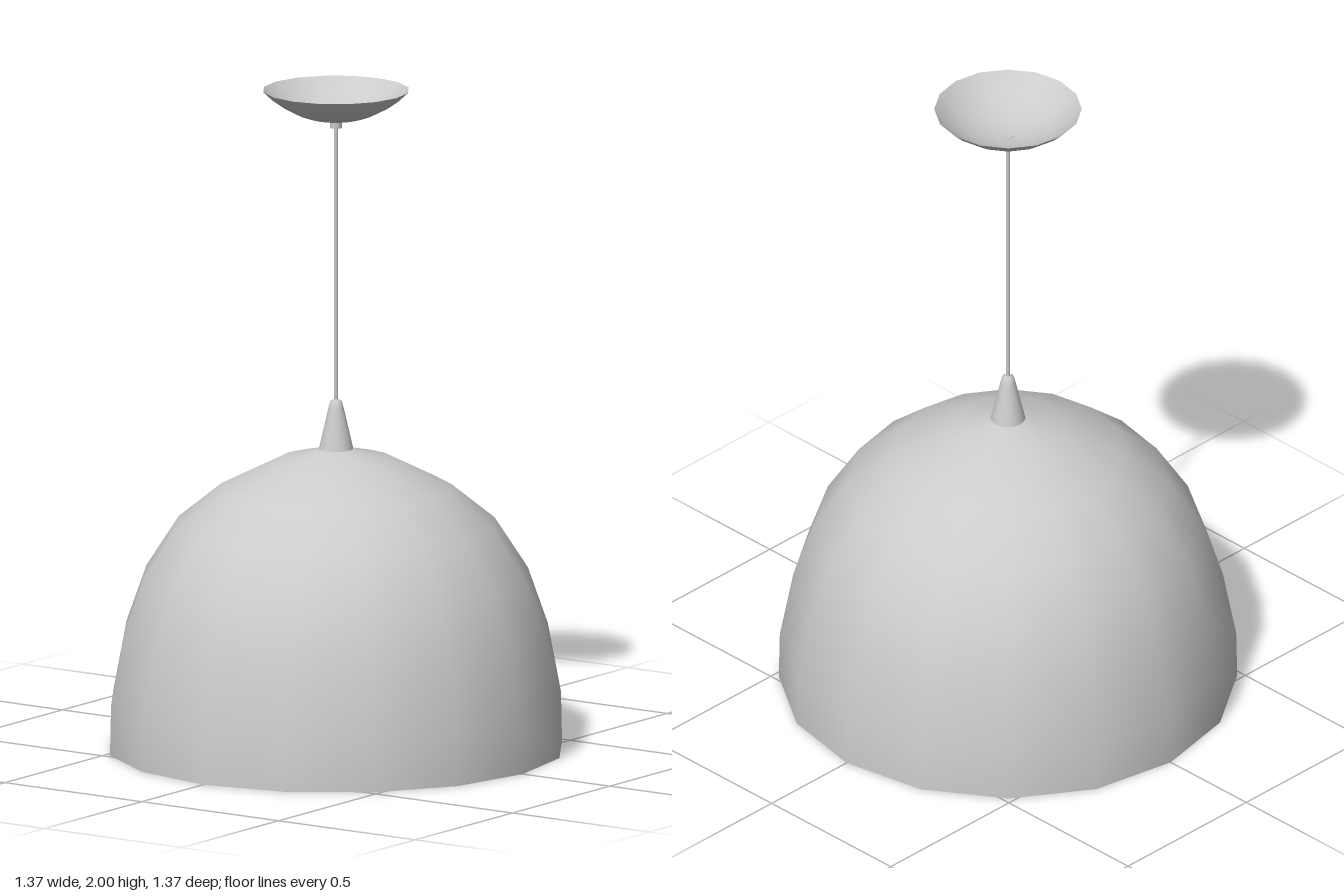
import * as THREE from 'three';

const material = new THREE.MeshStandardMaterial({ color: 0xcccccc });
const thinMaterial = new THREE.MeshStandardMaterial({ color: 0xcccccc, side: THREE.DoubleSide });

// Surface of revolution from [radius, height] pairs, listed bottom to top for an outer face
function lathe(name, profile, sides = 16, mat = material) {
  const points = profile.map(([r, y]) => new THREE.Vector2(r, y));
  const mesh = new THREE.Mesh(new THREE.LatheGeometry(points, sides), mat);
  mesh.name = name;
  return mesh;
}

function cylinder(name, radius, bottom, top, sides) {
  const mesh = new THREE.Mesh(new THREE.CylinderGeometry(radius, radius, top - bottom, sides), material);
  mesh.position.y = (bottom + top) / 2;
  mesh.name = name;
  return mesh;
}

export function createModel() {
  const model = new THREE.Group();
  model.name = 'pendantLamp';

  // Dome shade: outer skin, inner skin and flat rim
  const outer = [[0.683, 0], [0.68, 0.15], [0.64, 0.36], [0.58, 0.53],
    [0.48, 0.685], [0.35, 0.79], [0.17, 0.88], [0, 0.92]];
  const inner = outer.map(([r, y]) => [r * 0.975, y * 0.98]).reverse();
  const shade = new THREE.Group();
  shade.name = 'shade';
  shade.add(
    lathe('shadeOuter', outer),
    lathe('shadeInner', inner),
    lathe('shadeRim', [[0.683 * 0.975, 0], [0.683, 0]])
  );
  model.add(shade);

  // Tapered cable grip on top of the dome
  model.add(lathe('cableGrip', [[0.052, 0.91], [0.023, 1.035], [0.018, 1.055], [0.008, 1.06], [0, 1.06]]));

  // Cable and the ferrule below the canopy
  model.add(cylinder('cable', 0.006, 1.05, 1.9, 8));
  model.add(cylinder('ferrule', 0.018, 1.885, 1.908, 12));

  // Open ceiling canopy: a shallow spherical bowl
  const radius = 0.302, half = Math.asin(0.22 / radius);
  const bowl = Array.from({ length: 7 }, (_, i) => {
    const a = half * i / 6;
    return [radius * Math.sin(a), 2 - radius * (Math.cos(a) - Math.cos(half))];
  });
  model.add(lathe('canopy', bowl, 16, thinMaterial));

  // Bulb and socket hidden inside the dome
  const bulb = [[0, 0.355], [0.07, 0.367], [0.13, 0.402], [0.172, 0.46], [0.185, 0.535],
    [0.17, 0.61], [0.125, 0.68], [0.08, 0.74], [0.06, 0.78]];
  model.add(lathe('bulb', bulb));
  model.add(cylinder('socket', 0.07, 0.77, 0.895, 16));

  return model;
}
